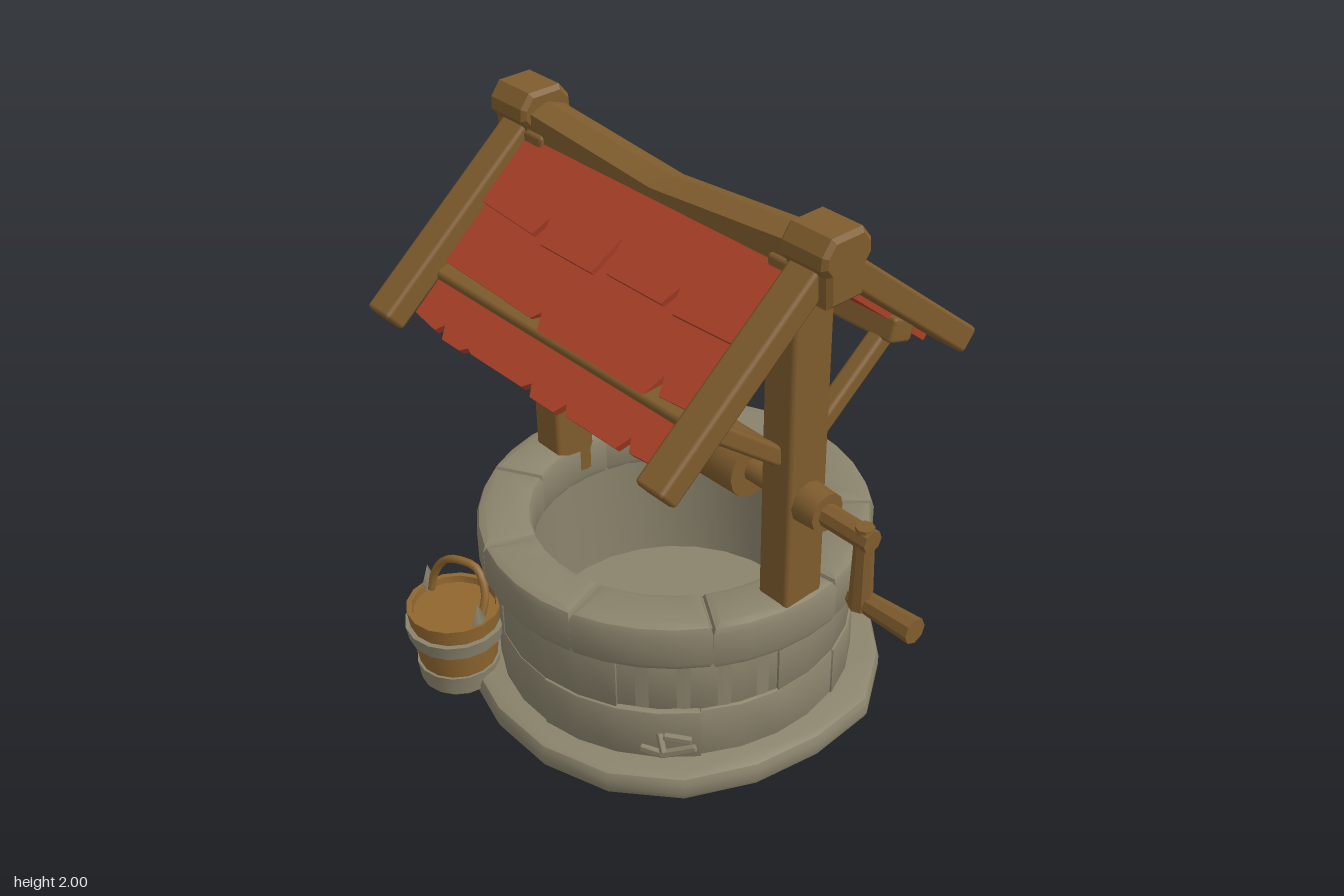
import * as THREE from 'three';
import { toCreasedNormals } from 'three/addons/utils/BufferGeometryUtils.js';
import { RoundedBoxGeometry } from 'three/addons/geometries/RoundedBoxGeometry.js';

const mat = (name, color, side = THREE.FrontSide) => {
  const m = new THREE.MeshStandardMaterial({ color, side });
  m.name = name;
  return m;
};

export function createModel() {
  const root = new THREE.Group();
  root.name = 'well';
  const wood = mat('wood', 0x7f5c2d);
  const bucketWood = mat('bucketWood', 0x8f662f);
  const stone = mat('stone', 0x8a836c);
  const roofRed = mat('roofRed', 0xab4027);
  const CX = -0.18, CZ = -0.035, MID = -0.157;

  let seed = 7;
  const rand = () => (seed = (seed * 16807) % 2147483647) / 2147483647;
  const add = (name, geo, material, x = 0, y = 0, z = 0, parent = root) => {
    const m = new THREE.Mesh(geo, material);
    m.name = name;
    m.position.set(x, y, z);
    parent.add(m);
    return m;
  };
  const crease = (g, a = 0.6) => toCreasedNormals(g, a);
  const box = (name, w, h, d, x, y, z) =>
    add(name, new RoundedBoxGeometry(w, h, d, 1, 0.014), wood, x, y, z);
  // squared timber running between two points
  const beam = (name, p, q, w, h, material = wood) => {
    const a = new THREE.Vector3(...p), b = new THREE.Vector3(...q);
    const r = Math.min(0.014, w / 4);
    const m = add(name, new RoundedBoxGeometry(w, h, a.distanceTo(b), 1, r), material);
    m.position.copy(a).lerp(b, 0.5);
    m.lookAt(b);
    return m;
  };
  // round bar along x, with the radius given at both ends
  const bar = (name, x0, x1, y, z, r0, r1 = r0, sides = 12) => {
    const g = new THREE.CylinderGeometry(r1, r0, x1 - x0, sides);
    g.rotateZ(-Math.PI / 2);
    return add(name, crease(g), wood, (x0 + x1) / 2, y, z);
  };
  // flat outline raised into a slab with softened edges, lying on y
  const slab = (pts, h, b) => {
    const g = new THREE.ExtrudeGeometry(new THREE.Shape(pts), {
      depth: h - 2 * b, bevelThickness: b, bevelSize: b, bevelOffset: -b, bevelSegments: 2, steps: 1,
    });
    g.rotateX(-Math.PI / 2);
    g.translate(0, b, 0);
    return crease(g);
  };
  const polar = (r, a) => new THREE.Vector2(r * Math.cos(a), r * Math.sin(a));

  // uneven foot slab
  const foot = [];
  for (let i = 0; i < 18; i++) foot.push(polar(0.725 + 0.03 * (rand() - 0.5), (i / 18) * Math.PI * 2));
  add('footSlab', slab(foot, 0.1, 0.03), stone, CX, 0, -0.04);

  // courses of curved stones
  const course = (name, count, rIn, rOut, y, h, b, jitter, turn) => {
    for (let i = 0; i < count; i++) {
      const a0 = turn + (i / count) * Math.PI * 2, a1 = turn + ((i + 1) / count) * Math.PI * 2;
      const ro = rOut + jitter * (rand() - 0.5), pts = [];
      for (let k = 0; k <= 4; k++) pts.push(polar(ro, a0 + ((a1 - a0) * k) / 4));
      for (let k = 4; k >= 0; k--) pts.push(polar(rIn, a0 + ((a1 - a0) * k) / 4));
      add(name, slab(pts, h + jitter * 0.3 * (rand() - 0.5), b), stone, CX, y, CZ);
    }
  };
  course('lowerWallStone', 7, 0.5, 0.615, 0.09, 0.2, 0.006, 0.02, 0.3);
  course('upperWallStone', 7, 0.5, 0.61, 0.285, 0.23, 0.006, 0.02, 0.75);
  course('rimStone', 9, 0.48, 0.668, 0.505, 0.175, 0.03, 0.02, 0.15);

  // solid core behind the seams, open shaft and floor
  const core = [[0, 0.11], [0.49, 0.11], [0.49, 0.655], [0.64, 0.655], [0.64, 0.52], [0.6, 0.51], [0.6, 0.08]]
    .map(([r, y]) => new THREE.Vector2(r, y)).reverse();
  add('shaft', crease(new THREE.LatheGeometry(core, 28)), stone, CX, 0, CZ);

  // stone chips on the wall
  [[[0.2, 0.14, 0.46], [0.27, 0.13, 0.42]], [[0.26, 0.13, 0.43], [0.35, 0.17, 0.35]],
    [[0.25, 0.21, 0.42], [0.28, 0.15, 0.43]], [[0.27, 0.21, 0.42], [0.34, 0.2, 0.36]]]
    .forEach(([p, q]) => beam('stoneChip', p, q, 0.02, 0.025, stone));

  // posts, rafters, caps and braces, the same at both ends
  for (const s of [-1, 1]) {
    const px = MID + s * 0.563;
    box('post', 0.124, 1.33, 0.16, px, 1.215, 0);
    const cap = new THREE.Shape([[-0.07, 0], [0.07, 0], [0.075, 0.1], [0.098, 0.13], [0.095, 0.17], [0.06, 0.215],
      [-0.06, 0.215], [-0.095, 0.17], [-0.098, 0.13], [-0.075, 0.1]].map((p) => new THREE.Vector2(...p)));
    const cg = new THREE.ExtrudeGeometry(cap, {
      depth: 0.15, bevelThickness: 0.014, bevelSize: 0.014, bevelOffset: -0.014, bevelSegments: 1 });
    cg.translate(0, 0, -0.075);
    cg.rotateY(Math.PI / 2);
    add('ridgeCap', crease(cg, 0.4), wood, MID + s * 0.652, 1.783, 0);
    for (const f of [-1, 1]) {
      beam('rafter', [MID + s * 0.642, 1.88, f * 0.025], [MID + s * 0.642, 1.388, f * 0.625], 0.112, 0.088);
      beam('brace', [px + s * -0.01, 1.21, f * 0.06], [px + s * -0.01, 1.47, f * 0.39], 0.062, 0.062);
    }
  }
  for (const f of [-1, 1]) {
    const p = box('purlin', 1.24, 0.085, 0.1, MID, 1.485, f * 0.395);
    p.rotation.x = f * 0.3;
  }

  // ridge beam, sagging in the middle
  const ridge = new THREE.BoxGeometry(1.3, 0.15, 0.135, 8, 1, 2);
  const rp = ridge.attributes.position;
  for (let i = 0; i < rp.count; i++) {
    const t = 1 - Math.abs(rp.getX(i)) / 0.65;
    const crown = rp.getY(i) > 0 && Math.abs(rp.getZ(i)) > 0.01 ? 0.025 : 0;
    rp.setY(i, rp.getY(i) - 0.055 * t - crown);
  }
  ridge.computeVertexNormals();
  add('ridgeBeam', crease(ridge, 0.4), wood, MID, 1.892, 0);

  // shingle rows: length down the slope, height above the deck, notches [x, depth, drop after]
  const rows = [
    [0.3, 0, [[-0.29, 0.07, 0.015], [0.005, 0.14, -0.02], [0.3, 0.07, 0.01]]],
    [0.52, -0.02, [[-0.11, 0.03, 0.022], [0.42, 0.08, -0.02]]],
    [0.705, -0.042, [[-0.44, 0.03, 0.012], [-0.3, 0.02, -0.01], [0.0, 0.025, 0.012], [0.16, 0.04, -0.01], [0.43, 0.05, -0.01]]],
  ];
  for (const f of [1, -1]) {
    const side = new THREE.Group();
    side.name = f > 0 ? 'frontRoof' : 'backRoof';
    side.position.x = MID;
    if (f < 0) side.rotation.y = Math.PI;
    root.add(side);
    for (const [len, lift, notches] of rows) {
      let s = len;
      const shape = new THREE.Shape();
      shape.moveTo(0.588, 0);
      shape.lineTo(-0.588, 0);
      shape.lineTo(-0.588, -s + 0.015);
      for (const [x, depth, drop] of notches) {
        shape.lineTo(x - 0.03, -s);
        shape.lineTo(x - 0.004, -s + depth);
        s += drop;
        shape.lineTo(x + 0.02, -s);
      }
      shape.lineTo(0.588, -s + 0.01);
      const g = new THREE.ExtrudeGeometry(shape, { depth: 0.024, bevelEnabled: false });
      const m = add('shingleRow', g, roofRed, 0, 1.87, 0.035, side);
      m.rotation.x = -0.875;
      m.translateZ(lift - 0.015);
    }
  }

  // windlass
  const WY = 1.05;
  bar('axle', -0.7, 0.4, WY, 0, 0.042);
  bar('drum', -0.56, -0.16, WY, 0, 0.095, 0.105, 14);
  bar('drum', -0.16, 0.235, WY, 0, 0.105, 0.1, 14);
  bar('axleEnd', -0.812, -0.77, WY, 0, 0.07, 0.07);
  bar('hub', 0.44, 0.55, WY, 0, 0.072, 0.066);
  for (let i = 0; i < 6; i++) {
    const t = add('ropeCoil', new THREE.TorusGeometry(0.103, 0.02, 6, 20), wood, -0.25 + i * 0.032, WY, 0);
    t.rotation.set(0, Math.PI / 2 + 0.16 * (rand() - 0.5), 0.0);
  }

  // crank
  bar('crankShaft', 0.53, 0.735, 1.045, 0, 0.038, 0.038, 8);
  add('crankArm', crease(new THREE.CylinderGeometry(0.03, 0.038, 0.3, 8)), wood, 0.702, 0.935, 0);
  const grip = bar('crankGrip', 0.66, 0.912, 0.805, -0.01, 0.033, 0.043, 8);
  grip.rotation.z = 0.04;

  // bucket
  const bucket = new THREE.Group();
  bucket.name = 'bucket';
  bucket.position.set(-0.592, 0, 0.61);
  root.add(bucket);
  const body = [[0, 0.04], [0.125, 0.04], [0.163, 0.35], [0.145, 0.35], [0.142, 0.325], [0, 0.325]]
    .map(([r, y]) => new THREE.Vector2(r, y));
  add('bucketBody', crease(new THREE.LatheGeometry(body, 16)), bucketWood, 0, 0, 0, bucket);
  for (const [y, h, r] of [[0.09, 0.075, 0.138], [0.26, 0.055, 0.166]])
    add('bucketHoop', crease(new THREE.CylinderGeometry(r + 0.007, r - 0.002, h, 16)), stone, 0, y, 0, bucket);
  const arc = [[-0.135, 0.33, 0], [-0.12, 0.4, -0.01], [-0.07, 0.48, -0.025], [0, 0.512, -0.04],
    [0.07, 0.505, -0.06], [0.12, 0.43, -0.05], [0.138, 0.33, 0]].map((p) => new THREE.Vector3(...p));
  add('bucketHandle', new THREE.TubeGeometry(new THREE.CatmullRomCurve3(arc), 20, 0.014, 6), bucketWood, 0, 0, 0, bucket);
  for (const s of [-1, 1])
    add('handleEar', new THREE.ConeGeometry(0.04, 0.11, 4), stone, s * 0.145, 0.375, 0, bucket).scale.x = 0.35;
  return root;
}
